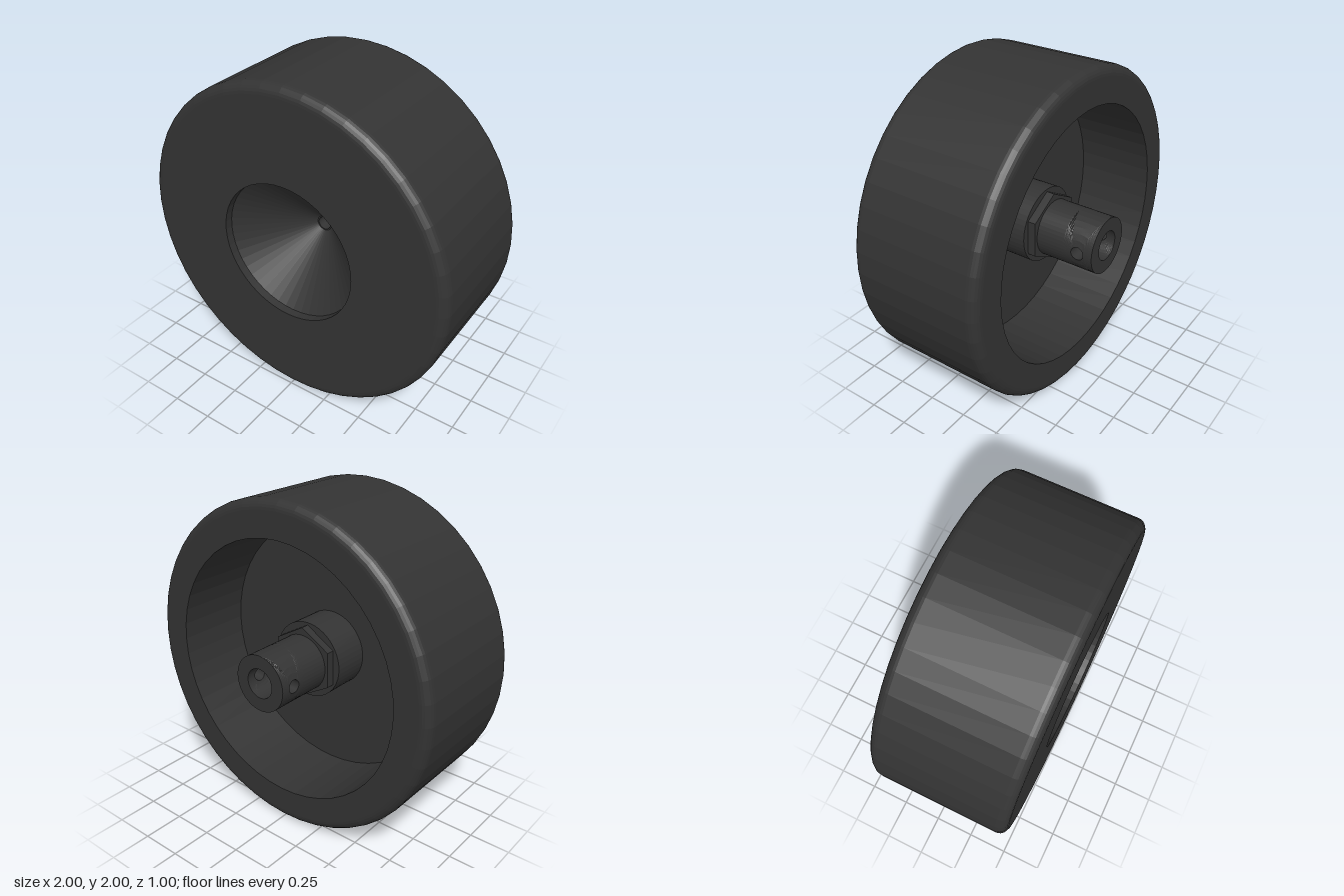
import * as THREE from 'three';

const SEG = 48;
const material = new THREE.MeshStandardMaterial({ color: 0x333333, flatShading: true, side: THREE.DoubleSide });

function addMesh(group, name, geometry) {
  const mesh = new THREE.Mesh(geometry, material);
  mesh.name = name;
  group.add(mesh);
  return mesh;
}

// Revolves [radius, z] points around the z axis
function revolve(points) {
  const profile = points.map(([r, z]) => new THREE.Vector2(r, z));
  return new THREE.LatheGeometry(profile, SEG).rotateX(Math.PI / 2);
}

// Quarter-round corner of the tyre
function fillet(r, z, radius, from) {
  return Array.from({ length: 7 }, (_, i) => {
    const a = from + (i / 6) * Math.PI / 2;
    return [r + radius * Math.cos(a), z + radius * Math.sin(a)];
  });
}

// Half of a tube wall pierced by a round side hole: a grid running from the
// inner surface's border to the hole, through the wall, and out again
function piercedHalf(outer, inner, z0, z1, holeZ, holeR) {
  const side = 24, around = side * 4, steps = 6;
  const positions = [], index = [];
  const rows = [];
  for (let i = 0; i <= steps; i++) rows.push([inner, 1 - i / steps]);
  for (let i = 0; i <= steps; i++) rows.push([outer, i / steps]);
  rows.forEach(([R, k]) => {
    for (let j = 0; j <= around; j++) {
      const n = j % around, f = (n % side) / side * 2 - 1;
      const [u, v] = [[f, -1], [1, f], [-f, 1], [-1, -f]][Math.floor(n / side)];
      const t = Math.atan2(v, u);
      const holeAngle = Math.asin(holeR * Math.cos(t) / R);
      const angle = THREE.MathUtils.lerp(holeAngle, u * Math.PI / 2, k);
      const edgeZ = THREE.MathUtils.lerp(z0, z1, (v + 1) / 2);
      const z = THREE.MathUtils.lerp(holeZ + holeR * Math.sin(t), edgeZ, k);
      positions.push(R * Math.cos(angle), R * Math.sin(angle), z);
    }
  });
  const w = around + 1;
  for (let i = 0; i < rows.length - 1; i++) {
    for (let j = 0; j < around; j++) {
      const a = i * w + j, b = a + 1, c = a + w, d = c + 1;
      index.push(a, c, b, b, c, d);
    }
  }
  const geometry = new THREE.BufferGeometry();
  geometry.setAttribute('position', new THREE.Float32BufferAttribute(positions, 3));
  geometry.setIndex(index);
  geometry.computeVertexNormals();
  return geometry;
}

export function createModel() {
  const wheel = new THREE.Group();
  wheel.name = 'wheel';

  // Wheel body: tyre, conical front recess, rear cavity and central boss
  addMesh(wheel, 'wheelBody', revolve([
    [0.785, -0.34],
    ...fillet(0.94, -0.28, 0.06, -Math.PI / 2),
    ...fillet(0.94, 0.44, 0.06, 0),
    [0.435, 0.5], [0.435, 0.45], [0.048, 0.12], [0.04, 0.12],
    [0.04, -0.085], [0.235, -0.085], [0.235, 0.145],
    [0.785, 0.145], [0.785, -0.34],
  ]));

  // Hexagonal flange behind the boss, with corners at top and bottom
  const hex = new THREE.Shape();
  for (let i = 0; i < 6; i++) {
    const a = Math.PI / 2 + i * Math.PI / 3;
    hex[i ? 'lineTo' : 'moveTo'](0.22 * Math.cos(a), 0.22 * Math.sin(a));
  }
  hex.closePath();
  hex.holes.push(new THREE.Path().absarc(0, 0, 0.04, 0, Math.PI * 2, true));
  addMesh(wheel, 'hexFlange', new THREE.ExtrudeGeometry(hex, { depth: 0.05, bevelEnabled: false, curveSegments: SEG }))
    .position.z = -0.135;

  // Hub shaft with a stepped bore
  addMesh(wheel, 'hubShaft', revolve([
    [0.172, -0.31], [0.172, -0.135], [0.04, -0.135],
    [0.04, -0.2], [0.09, -0.2], [0.09, -0.31],
  ]));

  // Shaft end with a set-screw hole on each side
  for (const turn of [0, Math.PI]) {
    const half = addMesh(wheel, 'screwHoleCollar', piercedHalf(0.172, 0.09, -0.5, -0.31, -0.405, 0.04));
    half.rotation.z = turn;
  }
  const end = addMesh(wheel, 'shaftEnd', new THREE.RingGeometry(0.09, 0.172, SEG).rotateY(Math.PI));
  end.position.z = -0.5;

  wheel.position.y = 1;
  const model = new THREE.Group();
  model.name = 'wheelModel';
  model.add(wheel);
  return model;
}
